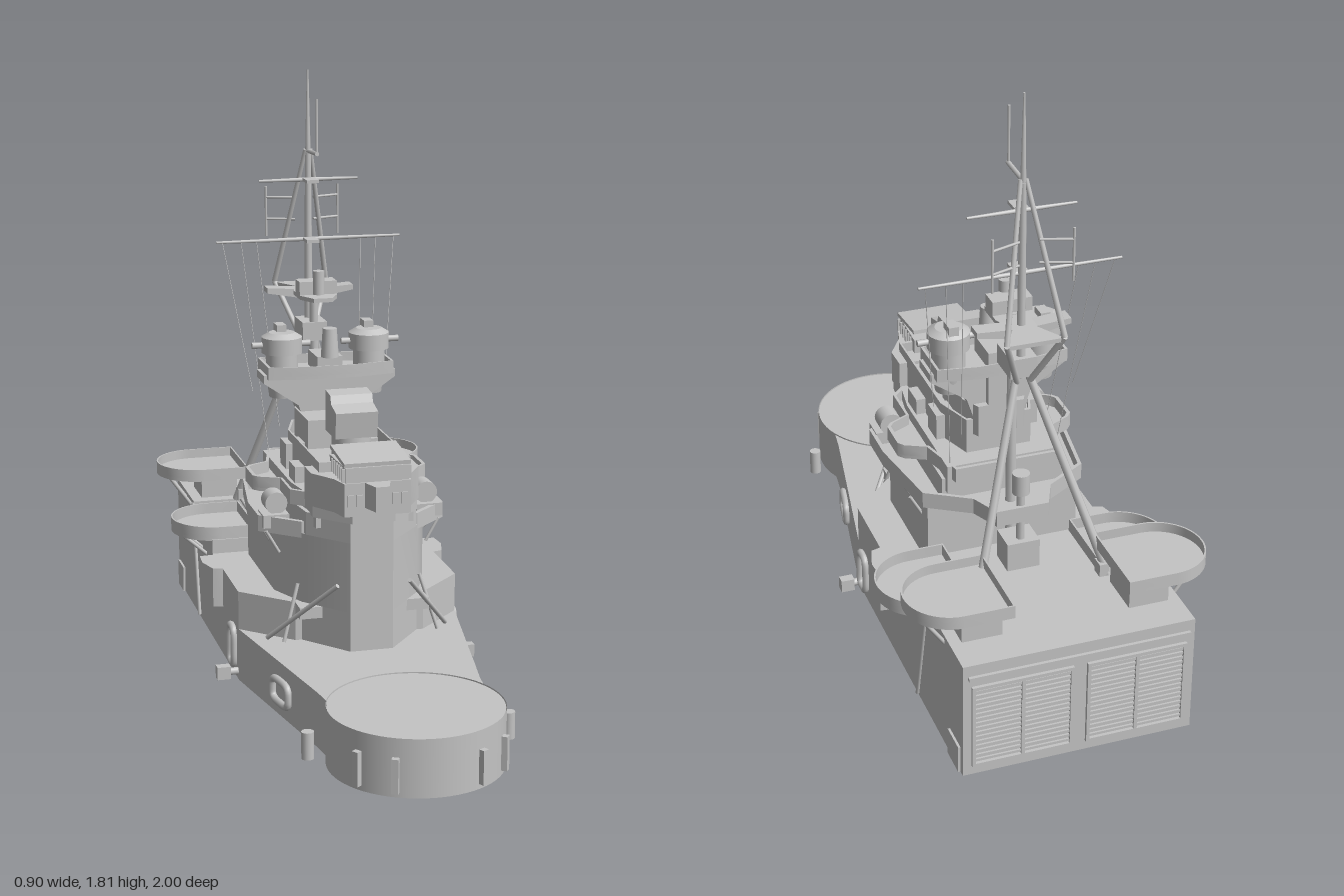
import * as THREE from 'three';
import { toCreasedNormals } from 'three/addons/utils/BufferGeometryUtils.js';

const paint = new THREE.MeshStandardMaterial({ color: 0xc4c4c4, side: THREE.DoubleSide });
paint.name = 'naval grey';
const SIDES = [1, -1];

export function createModel() {
  const model = new THREE.Group();
  model.name = 'warshipSuperstructure';

  const add = (name, geo, x = 0, y = 0, z = 0) => {
    const m = new THREE.Mesh(geo, paint);
    m.name = name;
    m.position.set(x, y, z);
    model.add(m);
    return m;
  };
  // box from its lower and upper limits
  const box = (name, x0, x1, y0, y1, z0, z1) =>
    add(name, new THREE.BoxGeometry(Math.abs(x1 - x0), y1 - y0, Math.abs(z1 - z0)), (x0 + x1) / 2, (y0 + y1) / 2, (z0 + z1) / 2);
  const pair = (name, x0, x1, y0, y1, z0, z1) => SIDES.forEach(s => box(name, s * x0, s * x1, y0, y1, z0, z1));
  const drum = (name, x, z, y0, y1, r, rTop = r, n = 32) =>
    add(name, new THREE.CylinderGeometry(rTop, r, y1 - y0, n), x, (y0 + y1) / 2, z);
  const rod = (name, a, b, r, r2 = r, n = 8) => {
    const p = new THREE.Vector3(...a), q = new THREE.Vector3(...b), d = q.clone().sub(p);
    const m = add(name, new THREE.CylinderGeometry(r2, r, d.length(), n));
    m.position.copy(p).add(q).multiplyScalar(0.5);
    m.quaternion.setFromUnitVectors(new THREE.Vector3(0, 1, 0), d.normalize());
  };
  const rods = (name, a, b, r, r2) => SIDES.forEach(s =>
    rod(name, [s * a[0], a[1], a[2]], [s * b[0], b[1], b[2]], r, r2));

  // raise a plan shape (x, -z) from y0 to y1
  const raise = (name, shape, y0, y1) => {
    const g = new THREE.ExtrudeGeometry(shape, { depth: y1 - y0, bevelEnabled: false }).rotateX(-Math.PI / 2);
    add(name, toCreasedNormals(g, 0.5), 0, y0, 0);
  };
  // symmetric plan from one half of its outline, listed front to back as [x, z]
  const plan = (half, k = 1) => {
    const zc = (half[0][1] + half[half.length - 1][1]) / 2;
    const pts = half.map(([x, z]) => new THREE.Vector2(x * k, -(zc + (z - zc) * k)));
    return new THREE.Shape([...pts, ...pts.slice().reverse().map(p => new THREE.Vector2(-p.x, p.y))]);
  };
  const prism = (name, half, y0, y1) => raise(name, plan(half), y0, y1);
  const bulwark = (name, half, y0, y1) => {
    const sh = plan(half);
    sh.holes.push(plan(half, 0.96));
    raise(name, sh, y0, y1);
  };
  // flat deck, and open plating that follows a half outline on both sides
  const deck = (name, half, y) => add(name, new THREE.ShapeGeometry(plan(half)).rotateX(-Math.PI / 2), 0, y, 0);
  const plating = (name, half, y0, y1) => SIDES.forEach(s => {
    const v = [];
    for (let i = 0; i < half.length - 1; i++) {
      const [[a, za], [b, zb]] = s > 0 ? [half[i], half[i + 1]] : [half[i + 1], half[i]];
      v.push(s * a, y0, za, s * b, y0, zb, s * b, y1, zb, s * a, y0, za, s * b, y1, zb, s * a, y1, za);
    }
    const g = new THREE.BufferGeometry().setAttribute('position', new THREE.Float32BufferAttribute(v, 3));
    g.computeVertexNormals();
    add(name, g);
  });
  // plate with an outline in x and y, running back from z by depth
  const profile = (name, half, z, depth) => {
    const pts = [...half, ...half.slice().reverse().map(([x, y]) => [-x, y])];
    const sh = new THREE.Shape(pts.map(p => new THREE.Vector2(...p)));
    add(name, new THREE.ExtrudeGeometry(sh, { depth, bevelEnabled: false }), 0, 0, z - depth);
  };

  // ---- hull, hollow and open underneath
  plating('lowerHull', [[0.23, 0.66], [0.24, 0.58], [0.345, 0], [0.345, -0.99], [0, -0.99]], 0, 0.165);
  deck('foreDeck', [[0.23, 0.66], [0.24, 0.58], [0.345, 0], [0.2, 0.14]], 0.165);
  plating('midHull', [[0, 0.14], [0.2, 0.14], [0.345, 0], [0.345, -0.39]], 0.165, 0.285);
  deck('midDeck', [[0.2, 0.14], [0.345, 0], [0.345, -0.39]], 0.285);
  plating('hangarSide', [[0.345, -0.39], [0.345, -0.99], [0, -0.99]], 0.165, 0.33);
  plating('hangarFront', [[0, -0.39], [0.345, -0.39]], 0.285, 0.33);
  deck('hangarDeck', [[0.345, -0.39], [0.345, -0.7]], 0.33);
  plating('hangarRear', [[0, -0.7], [0.345, -0.7], [0.345, -0.99], [0, -0.99]], 0.33, 0.37);
  deck('hangarRoof', [[0.345, -0.7], [0.345, -0.99]], 0.37);
  prism('sideSponsons', [[0.34, -0.23], [0.375, -0.24], [0.395, -0.31], [0.39, -0.375], [0.34, -0.38]], 0.16, 0.285);
  pair('hangarPad', 0.345, 0.352, 0, 0.085, -0.88, -0.97);

  // ---- front turret ring
  add('turretRing', new THREE.CylinderGeometry(0.252, 0.252, 0.17, 64, 1, true), 0, 0.085, 0.745);
  drum('turretRingTop', 0, 0.745, 0.16, 0.167, 0.25, 0.25, 64);
  for (const a of [0.5, 0.95]) SIDES.forEach(s => {
    const rib = box('turretRingRib', -0.01, 0.01, 0.02, 0.12, -0.012, 0.012);
    rib.position.set(s * Math.sin(a) * 0.257, 0.065, 0.745 + Math.cos(a) * 0.257);
    rib.rotation.y = s * a;
  });

  // ---- side fittings: floats, oval rafts, bollards, pipes
  const raft = (s, x, y, z, w, h, yaw) => {
    const pts = [], f = v => Math.sign(v) * Math.sqrt(Math.abs(v));
    for (let a = 0; a < 6.2; a += Math.PI / 8) pts.push(new THREE.Vector3(0, f(Math.sin(a)) * h, f(Math.cos(a)) * w));
    const path = new THREE.CatmullRomCurve3(pts, true);
    add('lifeRaft', new THREE.TubeGeometry(path, 48, 0.011, 8, true), s * x, y, z).rotation.y = -s * yaw;
  };
  SIDES.forEach(s => {
    drum('sideFloat', s * 0.295, 0.68, 0.015, 0.095, 0.018, 0.018, 16);
    raft(s, 0.293, 0.08, 0.335, 0.058, 0.034, 0.18);
    raft(s, 0.353, 0.095, -0.065, 0.032, 0.06, 0);
    box('bollard', s * 0.37, s * 0.412, 0.005, 0.045, 0, -0.03);
  });
  rods('bollardArm', [0.34, 0.025, -0.015], [0.38, 0.025, -0.015], 0.012);
  rods('hangarPipe', [0.35, 0.01, -0.6], [0.35, 0.37, -0.69], 0.006);

  // ---- hangar shutters on the back wall
  SIDES.forEach(s => {
    const [a, b] = [s * 0.025, s * 0.315];
    for (let i = 0; i < 16; i++) box('shutterSlat', a, b, 0.045 + i * 0.0155, 0.053 + i * 0.0155, -0.996, -0.99);
    for (const x of [a, (a + b) / 2, b]) box('shutterPost', x - 0.005, x + 0.005, 0.03, 0.3, -1, -0.99);
    for (const y of [0.03, 0.29]) box('shutterFrame', a, b, y, y + 0.01, -1, -0.99);
  });
  box('hangarEave', -0.33, 0.33, 0.325, 0.335, -1, -0.99);

  // ---- gun tubs: a round outer end, a straight inner end
  const tubPlan = (s, xi, xc, zc, r) => {
    const sh = new THREE.Shape().moveTo(s * xi, -zc - r);
    for (let i = 0; i <= 24; i++) {
      const a = -Math.PI / 2 + i / 24 * Math.PI;
      sh.lineTo(s * (xc + Math.cos(a) * r), -zc + Math.sin(a) * r);
    }
    return sh.lineTo(s * xi, -zc + r);
  };
  const tub = (xi, xc, zc, r, y0, y1) => SIDES.forEach(s => {
    raise('gunTubFloor', tubPlan(s, xi, xc, zc, r), y0, y0 + 0.01);
    const wall = tubPlan(s, xi, xc, zc, r);
    wall.holes.push(tubPlan(s, xi + 0.005, xc, zc, r - 0.005));
    raise('gunTubWall', wall, y0, y1);
  });
  tub(0.2, 0.31, -0.535, 0.14, 0.325, 0.37);
  tub(0.17, 0.315, -0.79, 0.135, 0.45, 0.49);
  pair('tubPedestal', 0.19, 0.31, 0.37, 0.45, -0.74, -0.88);
  for (const z of [-0.75, -0.83]) rods('tubStrut', [0.34, 0.34, z], [0.42, 0.452, z], 0.006);
  for (const z of [-0.49, -0.56]) rods('lowerTubStrut', [0.34, 0.25, z], [0.43, 0.33, z], 0.006);
  pair('deckLocker', 0.17, 0.2, 0.37, 0.41, -0.67, -0.71);

  // ---- conning tower
  prism('towerFoot', [[0.065, 0.28], [0.18, 0.14]], 0.165, 0.285);
  prism('tower', [[0.065, 0.28], [0.18, 0.14], [0.235, 0.01], [0.235, -0.36]], 0.285, 0.5);
  prism('towerUpper', [[0.065, 0.28], [0.17, 0.16], [0.19, 0], [0.19, -0.36]], 0.5, 0.57);
  pair('towerLocker', 0.1, 0.2, 0.25, 0.285, 0.13, 0.2);
  const gallery = [[0.18, 0.14], [0.29, 0.04], [0.29, -0.1], [0.25, -0.36], [0.12, -0.44], [0.08, -0.53]];
  prism('gallery', gallery, 0.485, 0.5);
  bulwark('galleryWall', gallery, 0.5, 0.535);
  for (const z of [0.06, -0.06, -0.18, -0.3]) rods('galleryStrut', [0.23, 0.42, z], [0.27, 0.49, z], 0.005);

  // ---- upper decks
  prism('deckHouse', [[0.15, 0.2], [0.18, 0], [0.18, -0.38]], 0.53, 0.62);
  const wings = [[0.14, 0.14], [0.2, 0.08], [0.2, -0.05], [0.26, -0.08], [0.275, -0.1], [0.275, -0.2], [0.26, -0.22], [0.2, -0.25], [0.16, -0.4]];
  prism('wingDeck', wings, 0.575, 0.585);
  bulwark('wingDeckWall', wings, 0.585, 0.62);
  const house = [[0.14, 0.2], [0.14, -0.2], [0.1, -0.32]];
  prism('upperHouse', house, 0.6, 0.69);
  bulwark('upperHouseWall', house, 0.69, 0.73);
  prism('directorHouse', [[0.1, -0.1], [0.1, -0.28], [0.07, -0.34]], 0.68, 0.78);
  pair('shelterBlock', 0.1, 0.17, 0.62, 0.67, 0.02, -0.06);
  pair('shelterBlock', 0.1, 0.16, 0.62, 0.7, -0.14, -0.22);
  pair('lampBase', 0.2, 0.28, 0.5, 0.54, 0, 0.07);
  SIDES.forEach(s => rod('searchlight', [s * 0.235, 0.57, -0.01], [s * 0.235, 0.57, 0.05], 0.034, 0.034, 24));

  // ---- bridge with window band and sloping roof
  prism('bridgeBase', [[0.065, 0.3], [0.16, 0.2], [0.16, 0.12]], 0.565, 0.62);
  prism('bridge', [[0.1, 0.34], [0.115, 0.28], [0.165, 0.2], [0.165, 0.12]], 0.6, 0.7);
  prism('bridgePoint', [[0.02, 0.395], [0.04, 0.335]], 0.625, 0.7);
  prism('bridgeTop', [[0.095, 0.335], [0.1, 0.17]], 0.7, 0.745);
  add('bridgeRoof', new THREE.BoxGeometry(0.2, 0.012, 0.165), 0, 0.762, 0.257).rotation.x = 0.1;
  for (let i = -3; i <= 3; i++) box('bridgeWindow', i * 0.027 - 0.009, i * 0.027 + 0.009, 0.63, 0.665, 0.339, 0.345);
  for (let i = 0; i < 6; i++) pair('sideWindowPost', 0.094, 0.104, 0.702, 0.742, 0.2 + i * 0.025, 0.206 + i * 0.025);

  // ---- forward director
  drum('forwardDirectorBase', 0, 0.04, 0.69, 0.78, 0.06);
  const hood = new THREE.Shape([[-0.02, 0.77], [0.1, 0.77], [0.11, 0.85], [0.05, 0.865], [0.04, 0.89], [-0.02, 0.895]]
    .map(p => new THREE.Vector2(...p)));
  add('forwardDirector', new THREE.ExtrudeGeometry(hood, { depth: 0.13, bevelEnabled: false }), 0.065).rotation.y = -Math.PI / 2;

  // ---- twin directors on a flared cradle
  profile('directorCradle', [[0.08, 0.74], [0.1, 0.8], [0.21, 0.875], [0.21, 0.9]], -0.22, 0.1);
  const stand = [[0.08, -0.18], [0.2, -0.2], [0.2, -0.35], [0.08, -0.37]];
  prism('directorPlatform', stand, 0.89, 0.9);
  bulwark('directorPlatformWall', stand, 0.9, 0.93);
  prism('directorPillar', [[0.04, -0.22], [0.04, -0.34]], 0.78, 0.95);
  drum('centreSight', 0, -0.22, 0.95, 1.04, 0.028, 0.022, 20);
  SIDES.forEach(s => {
    const x = s * 0.14;
    drum('directorFoot', x, -0.275, 0.82, 0.89, 0.04, 0.05);
    drum('directorStem', x, -0.275, 0.9, 0.96, 0.05);
    drum('directorDrum', x, -0.275, 0.96, 1.01, 0.063);
    drum('directorCap', x, -0.275, 1.01, 1.024, 0.063, 0.04);
    rod('rangefinderArm', [s * 0.05, 0.985, -0.275], [s * 0.235, 0.985, -0.275], 0.01);
    box('directorSight', x - 0.015, x + 0.015, 1.015, 1.045, -0.275, -0.325);
  });

  // ---- tripod mast
  rod('mastFrontLeg', [0, 0.33, -0.425], [0, 1.12, -0.425], 0.017, 0.014);
  rods('mastRearLeg', [0.2, 0.37, -0.7], [0.02, 0.96, -0.51], 0.014, 0.012);
  rods('mastBrace', [0.02, 0.95, -0.52], [0.085, 1.12, -0.61], 0.009);
  rods('mastUpperLeg', [0.085, 1.12, -0.61], [0.008, 1.56, -0.495], 0.009, 0.007);
  rod('mainMast', [0, 0.95, -0.495], [0, 1.55, -0.495], 0.014, 0.01);
  rod('topMast', [0, 1.55, -0.495], [0, 1.81, -0.495], 0.009, 0.003);
  box('mastHouse', -0.04, 0.04, 0.96, 1.02, -0.41, -0.52);
  prism('mastPlatform', [[0.03, -0.3], [0.06, -0.36], [0.06, -0.45], [0.035, -0.52], [0.085, -0.61]], 1.105, 1.118);
  profile('mastPlatformArm', [[0.04, 1.09], [0.14, 1.108], [0.14, 1.125], [0.04, 1.118]], -0.47, 0.05);
  box('lookoutHouse', -0.06, 0.06, 1.118, 1.16, -0.365, -0.425);
  drum('lookoutLamp', 0, -0.36, 1.12, 1.195, 0.018, 0.018, 16);

  // ---- yards, aerials and rigging
  for (const [y, w] of [[1.275, 0.3], [1.465, 0.16]]) {
    rods('yard', [0, y, -0.49], [w, y, -0.49], 0.007, 0.004);
    box('yardStep', -0.02, 0.02, y - 0.004, y + 0.006, -0.43, -0.49);
  }
  rods('sideAerial', [0.118, 1.275, -0.58], [0.118, 1.435, -0.58], 0.004);
  for (const y of [1.33, 1.4]) rods('aerialArm', [0.03, y, -0.55], [0.118, y, -0.58], 0.004);
  rod('topAerialArm', [0, 1.555, -0.495], [0, 1.56, -0.375], 0.007);
  rod('topAerial', [0, 1.555, -0.38], [0, 1.73, -0.38], 0.004);
  for (const [x, x2, y2] of [[0.28, 0.215, 0.82], [0.22, 0.165, 0.62], [0.17, 0.13, 0.7]])
    rods('rigging', [x, 1.275, -0.49], [x2, y2, -0.36], 0.001);

  // ---- aft lamp post and deck booms
  box('aftHouse', -0.05, 0.05, 0.33, 0.42, -0.45, -0.54);
  rod('aftLampPost', [0, 0.42, -0.51], [0, 0.58, -0.51], 0.013);
  drum('aftLamp', 0, -0.51, 0.575, 0.64, 0.026, 0.026, 20);
  rods('deckBoom', [0.28, 0.17, 0.11], [0.11, 0.38, 0.3], 0.007);
  rods('deckBoomStay', [0.24, 0.17, 0.16], [0.19, 0.34, 0.13], 0.006);
  return model;
}
